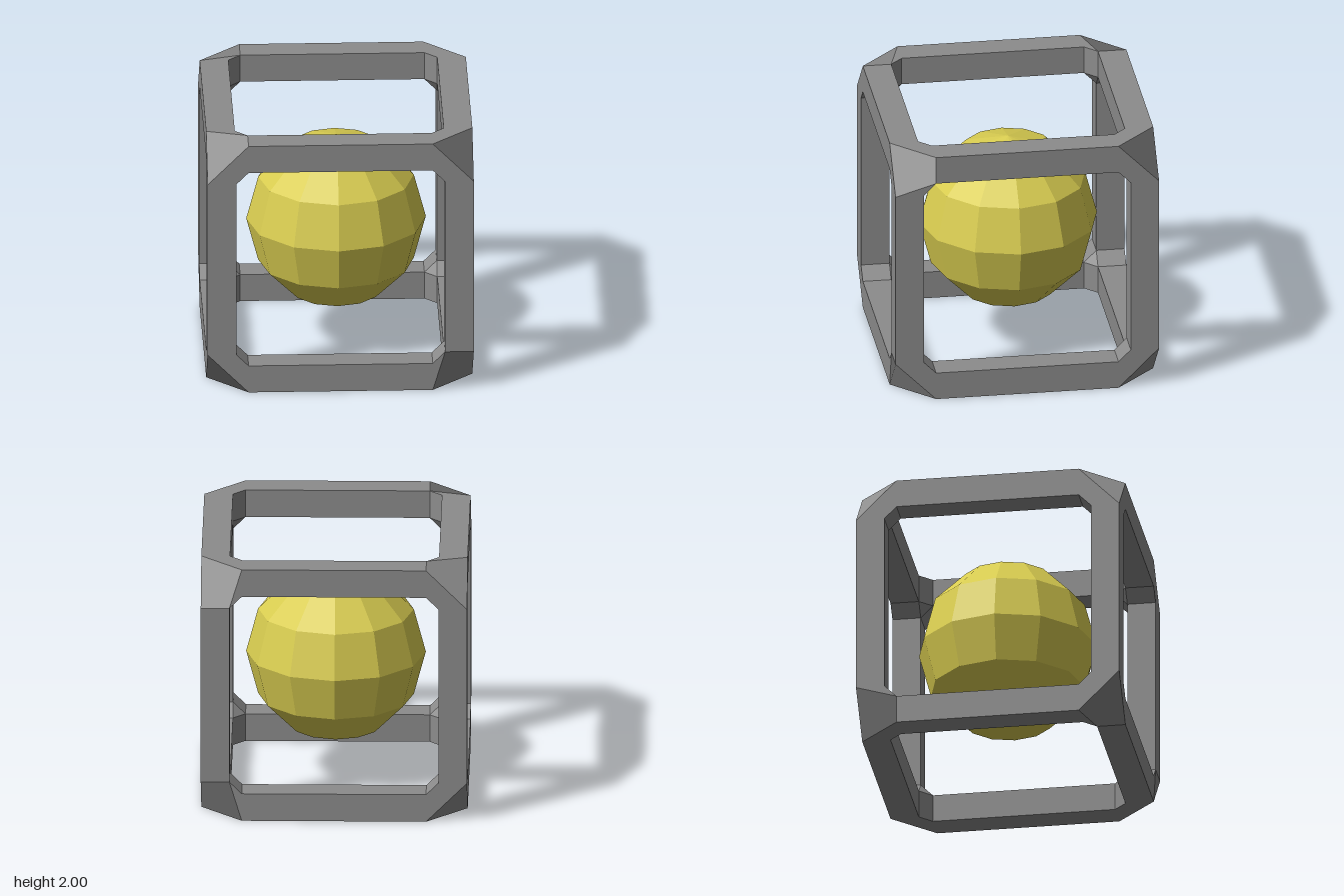
import * as THREE from 'three';

const OUT = 1, IN = 0.785, END = 0.692; // outer face, inner face, where beams stop

// Point given by its coordinates on axes a, a+1 and a+2
function point(a, va, vb, vc) {
  const p = [0, 0, 0];
  p[a] = va; p[(a + 1) % 3] = vb; p[(a + 2) % 3] = vc;
  return new THREE.Vector3(...p);
}

// Corner joint: a truncated cube corner with chamfered openings.
// The outer bevel runs on to the opening's corner on face `bevelAxis`.
function cornerGeometry(sign, bevelAxis) {
  const loops = [];
  const U = a => point(a, OUT, END, OUT);
  const V = a => point(a, OUT, OUT, END);
  const W = (a, h) => point(a, h, IN, END);
  const X = (a, h) => point(a, h, END, IN);
  for (let a = 0; a < 3; a++) {
    // flat outer face and the chamfer of its opening
    loops.push(a === bevelAxis ? [X(a, OUT), W(a, OUT), U(a)] : [X(a, OUT), W(a, OUT), V(a), U(a)]);
    loops.push([W(a, OUT), X(a, OUT), X(a, IN), W(a, IN)]);
  }
  // outer bevel and inner triangle
  loops.push([V(bevelAxis), point(bevelAxis, END, OUT, OUT), U(bevelAxis), W(bevelAxis, OUT)]);
  loops.push([X(2, IN), X(1, IN), X(0, IN)]);

  const positions = [], normals = [];
  const mirrored = sign.x * sign.y * sign.z < 0;
  for (const loop of loops) {
    const pts = loop.map(p => p.multiply(sign));
    if (mirrored) pts.reverse();
    // one normal for the whole loop
    const n = new THREE.Vector3();
    pts.forEach((p, i) => n.add(p.clone().cross(pts[(i + 1) % pts.length])));
    n.normalize();
    // split four-sided loops from the same corner when mirrored
    if (mirrored) pts.unshift(pts.pop());
    for (let i = 1; i < pts.length - 1; i++) {
      for (const p of [pts[0], pts[i], pts[i + 1]]) {
        positions.push(p.x, p.y, p.z);
        normals.push(n.x, n.y, n.z);
      }
    }
  }
  const geo = new THREE.BufferGeometry();
  geo.setAttribute('position', new THREE.Float32BufferAttribute(positions, 3));
  geo.setAttribute('normal', new THREE.Float32BufferAttribute(normals, 3));
  return geo;
}

export function createModel() {
  const model = new THREE.Group();
  model.name = 'cagedBall';
  const frameMat = new THREE.MeshStandardMaterial({ color: 0x8c8c8c });
  const ballMat = new THREE.MeshStandardMaterial({ color: 0xd8cc50, flatShading: true });

  const frame = new THREE.Group();
  frame.name = 'cubeFrame';
  frame.position.y = 1;
  model.add(frame);

  // Twelve square beams
  const mid = (OUT + IN) / 2, thick = OUT - IN;
  for (let a = 0; a < 3; a++) {
    const size = point(a, 2 * END, thick, thick);
    for (const s of [-1, 1]) for (const t of [-1, 1]) {
      const beam = new THREE.Mesh(new THREE.BoxGeometry(size.x, size.y, size.z), frameMat);
      beam.position.copy(point(a, 0, s * mid, t * mid));
      beam.name = 'beam';
      frame.add(beam);
    }
  }

  // Eight corners: signs and the axis of the face the bevel runs into
  const corners = [
    [1, 1, 1, 0], [1, -1, 1, 2], [-1, 1, 1, 1], [-1, 1, -1, 1],
    [-1, -1, -1, 0], [1, -1, -1, 2], [1, 1, -1, 2], [-1, -1, 1, 1],
  ];
  for (const [x, y, z, axis] of corners) {
    const corner = new THREE.Mesh(cornerGeometry(new THREE.Vector3(x, y, z), axis), frameMat);
    corner.name = 'corner';
    frame.add(corner);
  }

  // Faceted ball floating in the middle
  const ball = new THREE.Mesh(new THREE.SphereGeometry(0.675, 12, 6), ballMat);
  ball.name = 'ball';
  ball.position.y = 1;
  model.add(ball);

  return model;
}
